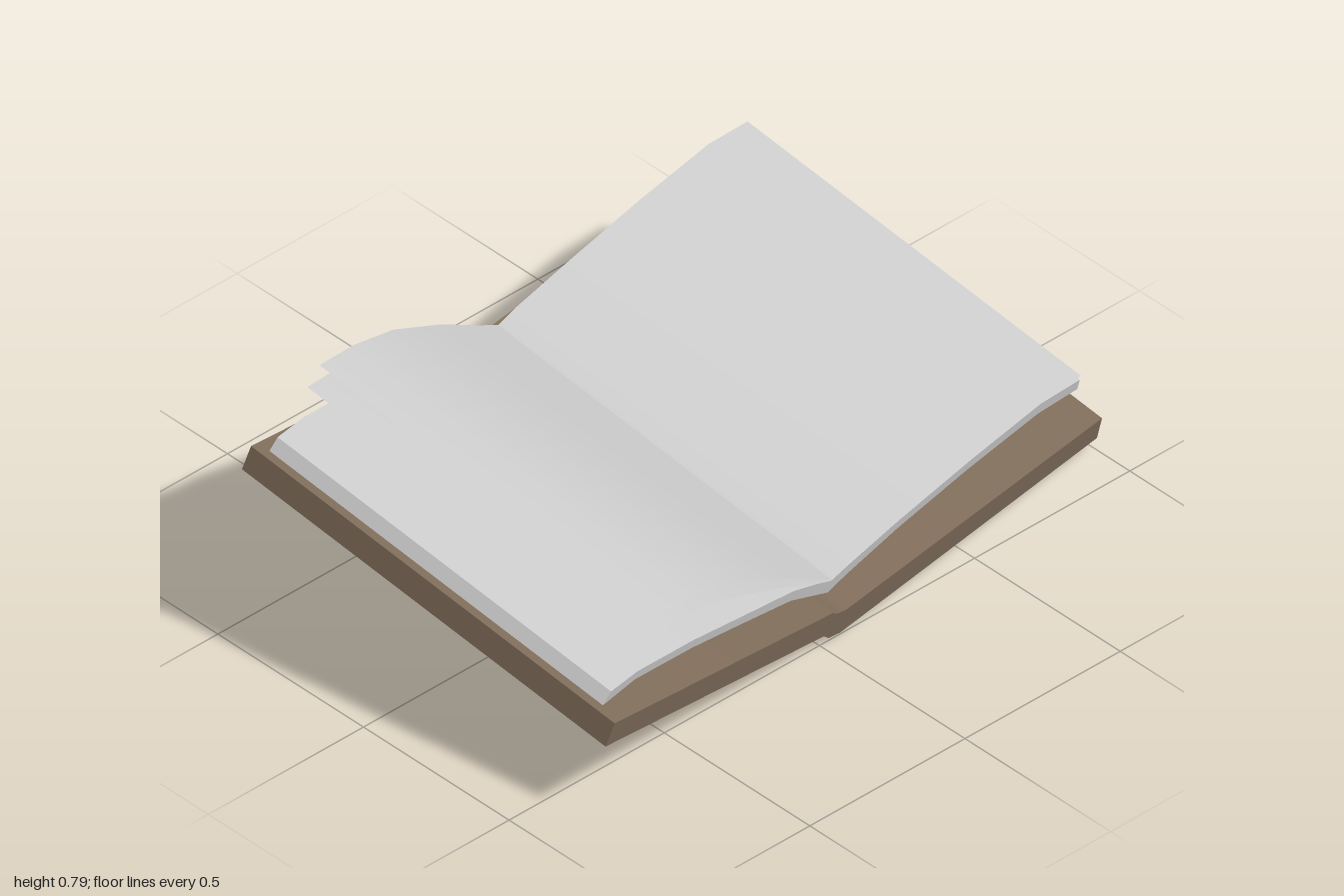
import * as THREE from 'three';
import { toCreasedNormals } from 'three/addons/utils/BufferGeometryUtils.js';

const paper = new THREE.MeshStandardMaterial({ color: 0xcccccc });
const sheetPaper = new THREE.MeshStandardMaterial({ color: 0xcccccc, side: THREE.DoubleSide });
const leather = new THREE.MeshStandardMaterial({ color: 0x7f6c5a });

// Solid with the given cross-section, running along the spine
function slab(name, points, start, end, material) {
  const shape = new THREE.Shape(points.map(([u, v]) => new THREE.Vector2(u, v)));
  const geometry = new THREE.ExtrudeGeometry(shape, { depth: end - start, bevelEnabled: false });
  geometry.translate(0, 0, start);
  const mesh = new THREE.Mesh(toCreasedNormals(geometry, 0.5), material);
  mesh.name = name;
  return mesh;
}

// Thin curved leaf swept along the spine
function leaf(name, points, start, end) {
  const geometry = new THREE.PlaneGeometry(1, 1, points.length - 1, 1);
  const pos = geometry.attributes.position;
  for (let i = 0; i < pos.count; i++) {
    const [u, v] = points[i % points.length];
    pos.setXYZ(i, u, v, i < points.length ? start : end);
  }
  geometry.computeVertexNormals();
  const mesh = new THREE.Mesh(geometry, sheetPaper);
  mesh.name = name;
  return mesh;
}

export function createModel() {
  const book = new THREE.Group();
  book.name = 'openBook';
  const pageStart = 0.055, pageEnd = 1.105;

  // Hinged cover: front board, rounded spine, back board
  book.add(slab('cover', [
    [0.867, 0.243], [0.855, 0.315], [-0.012, 0.107], [-0.035, 0.09], [-0.07, 0.08],
    [-1.005, 0.106], [-1.007, 0.036], [-0.07, 0], [-0.025, 0.012], [0, 0.035],
  ], 0, 1.145, leather));

  // Arched page block, open underneath
  book.add(slab('pageBlock', [
    [0.815, 0.352], [0.72, 0.357], [0.5, 0.316], [0.3, 0.264], [0.1, 0.213], [0, 0.17],
    [-0.06, 0.14], [-0.12, 0.155], [-0.3, 0.19], [-0.55, 0.225], [-0.8, 0.249], [-0.95, 0.23],
    [-0.95, 0.198], [-0.8, 0.215], [-0.55, 0.195], [-0.3, 0.16], [-0.12, 0.12], [-0.06, 0.1],
    [0, 0.13], [0.1, 0.18], [0.3, 0.235], [0.5, 0.288], [0.72, 0.33], [0.835, 0.318],
  ], pageStart, pageEnd, paper));

  // Loose leaves being turned
  const leaves = {
    frontUpperLeaf: [[0.715, 0.533], [0.583, 0.513], [0.42, 0.455], [0.206, 0.328], [0.03, 0.205], [-0.06, 0.145]],
    frontLowerLeaf: [[0.743, 0.476], [0.61, 0.46], [0.42, 0.398], [0.205, 0.29], [0.03, 0.192], [-0.06, 0.142]],
    backLeaf: [[-0.06, 0.145], [-0.12, 0.165], [-0.3, 0.2], [-0.55, 0.242], [-0.8, 0.268], [-0.95, 0.244]],
  };
  for (const [name, points] of Object.entries(leaves)) book.add(leaf(name, points, pageStart, pageEnd));

  // Tilt the book: cross-section axes, then the spine direction
  const across = new THREE.Vector3(0.126, 0, 0.992).normalize();
  const spine = new THREE.Vector3(-0.961, 0.249, 0.122).normalize();
  const up = new THREE.Vector3().crossVectors(spine, across).normalize();
  book.quaternion.setFromRotationMatrix(new THREE.Matrix4().makeBasis(across, up, spine));
  book.position.set(0.505, 0, 0);

  const model = new THREE.Group();
  model.name = 'tiltedBook';
  model.add(book);
  return model;
}
